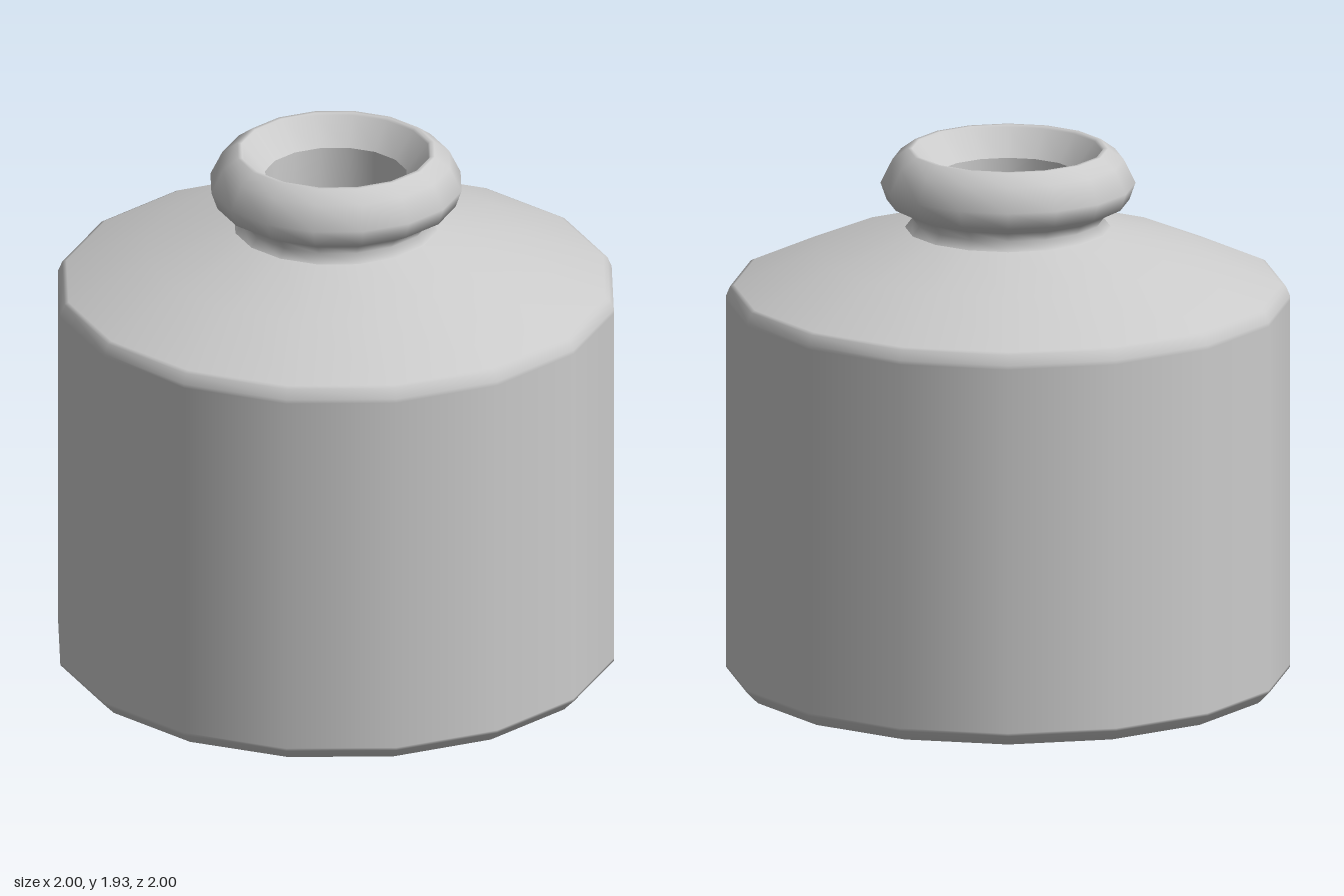
import * as THREE from 'three';

const SIDES = 16;
const material = new THREE.MeshStandardMaterial({ color: 0xcccccc, side: THREE.DoubleSide });

// Revolve a [radius, height] profile around the y axis
function revolve(name, profile) {
  const points = profile.map(([r, y]) => new THREE.Vector2(r, y));
  const mesh = new THREE.Mesh(new THREE.LatheGeometry(points, SIDES), material);
  mesh.name = name;
  return mesh;
}

export function createModel() {
  const group = new THREE.Group();
  group.name = 'bottle';

  // Flat base, bevelled wall and sloping shoulder; close pairs of points hold the edges
  group.add(revolve('body', [
    [0, 0], [0.95, 0], [0.96, 0], [1, 0.04], [1, 0.05],
    [1, 1.38], [1, 1.395], [0.985, 1.43], [0.97, 1.437],
    [0.68, 1.56], [0.365, 1.648],
  ]));

  // Pinched neck and rounded rim, sloping in to the mouth
  group.add(revolve('neckAndRim', [
    [0.365, 1.648], [0.34, 1.68], [0.365, 1.715], [0.43, 1.748],
    [0.452, 1.81], [0.41, 1.895], [0.355, 1.935], [0.34, 1.935],
    [0.333, 1.927], [0.255, 1.835],
  ]));

  // Hollow inside: straight throat, underside of the shoulder, wall and floor
  group.add(revolve('interior', [
    [0.255, 1.835], [0.255, 1.64], [0.26, 1.6], [0.66, 1.49],
    [0.93, 1.38], [0.94, 1.36], [0.94, 0.08], [0.92, 0.06], [0.91, 0.06], [0, 0.06],
  ]));

  return group;
}
